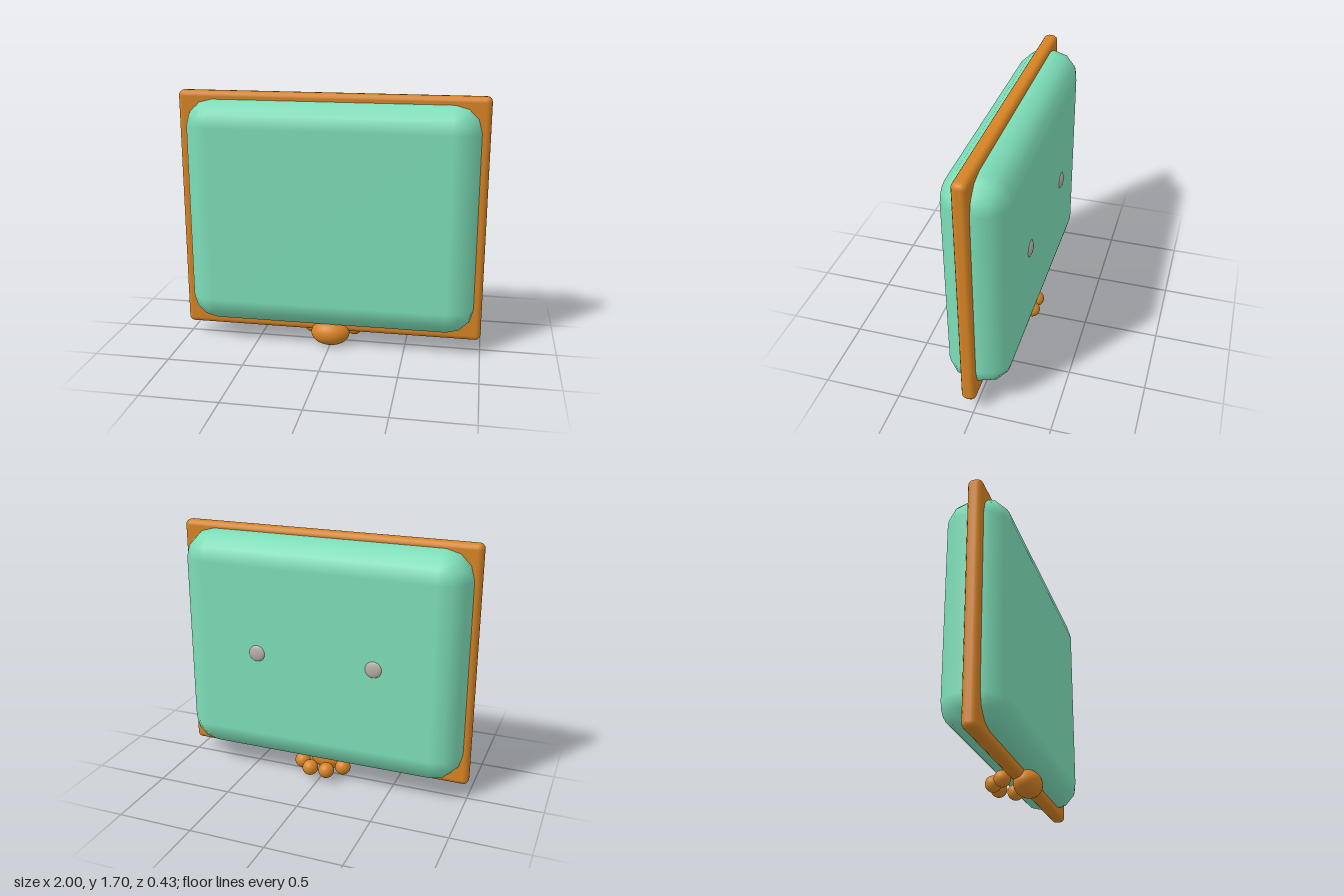
import * as THREE from 'three';

// Rounded box made of loops: every corner is an eighth of a sphere with n facets per quarter turn
function roundedBox(w, h, d, r, n) {
  const m = n + 1, count = 4 * m, rings = 2 * m;
  const pos = [], nor = [], index = [];
  const signs = [[1, 1], [-1, 1], [-1, -1], [1, -1]];
  for (let i = 0; i < rings; i++) {
    const back = i >= m;
    const t = ((back ? i - 1 : i) / n) * Math.PI / 2;
    for (let c = 0; c < 4; c++) {
      for (let k = 0; k < m; k++) {
        const a = (c + k / n) * Math.PI / 2;
        const x = Math.sin(t) * Math.cos(a), y = Math.sin(t) * Math.sin(a), z = Math.cos(t);
        nor.push(x, y, z);
        pos.push(
          signs[c][0] * (w / 2 - r) + x * r,
          signs[c][1] * (h / 2 - r) + y * r,
          (back ? -1 : 1) * (d / 2 - r) + z * r
        );
      }
    }
  }
  for (let i = 0; i < rings - 1; i++) {
    for (let j = 0; j < count; j++) {
      const a = i * count + j, b = i * count + (j + 1) % count;
      index.push(a, a + count, b, b, a + count, b + count);
    }
  }
  // Flat front and back faces
  const e = (rings - 1) * count;
  index.push(0, m, 2 * m, 0, 2 * m, 3 * m);
  index.push(e, e + 2 * m, e + m, e, e + 3 * m, e + 2 * m);
  const g = new THREE.BufferGeometry();
  g.setAttribute('position', new THREE.Float32BufferAttribute(pos, 3));
  g.setAttribute('normal', new THREE.Float32BufferAttribute(nor, 3));
  g.setIndex(index);
  return g;
}

function material(name, color) {
  const m = new THREE.MeshStandardMaterial({ color });
  m.name = name;
  return m;
}

export function createModel() {
  const model = new THREE.Group();
  model.name = 'cushionedPanel';
  const mint = material('mint', 0x7ddeb8);
  const orange = material('orange', 0xd68324);
  const grey = material('warmGrey', 0xb8b0a6);

  const add = (name, geometry, mat, x, y, z, parent = model) => {
    const mesh = new THREE.Mesh(geometry, mat);
    mesh.name = name;
    mesh.position.set(x, y, z);
    parent.add(mesh);
    return mesh;
  };

  // Soft body and the thin plate running around its middle
  add('body', roundedBox(1.92, 1.523, 0.412, 0.183, 3), mint, 0, 0.8985, 0.006);
  add('rim', roundedBox(2, 1.604, 0.093, 0.035, 4), orange, 0, 0.897, 0.0335);

  // Paw under the lower edge: one wide pad and four toes
  const paw = new THREE.Group();
  paw.name = 'paw';
  model.add(paw);
  const ball = new THREE.SphereGeometry(1, 32, 20);
  add('pawPad', ball, orange, 0, 0.088, 0.079, paw).scale.set(0.13, 0.086, 0.09);
  for (const side of [-1, 1]) {
    add('outerToe', ball, orange, side * 0.147, 0.088, -0.043, paw).scale.setScalar(0.053);
    add('innerToe', ball, orange, side * 0.058, 0.088, -0.128, paw).scale.setScalar(0.053);
    // Flattened studs on the back
    add('backStud', ball, grey, side * 0.4, 0.897, -0.196).scale.set(0.056, 0.056, 0.02);
  }
  return model;
}
